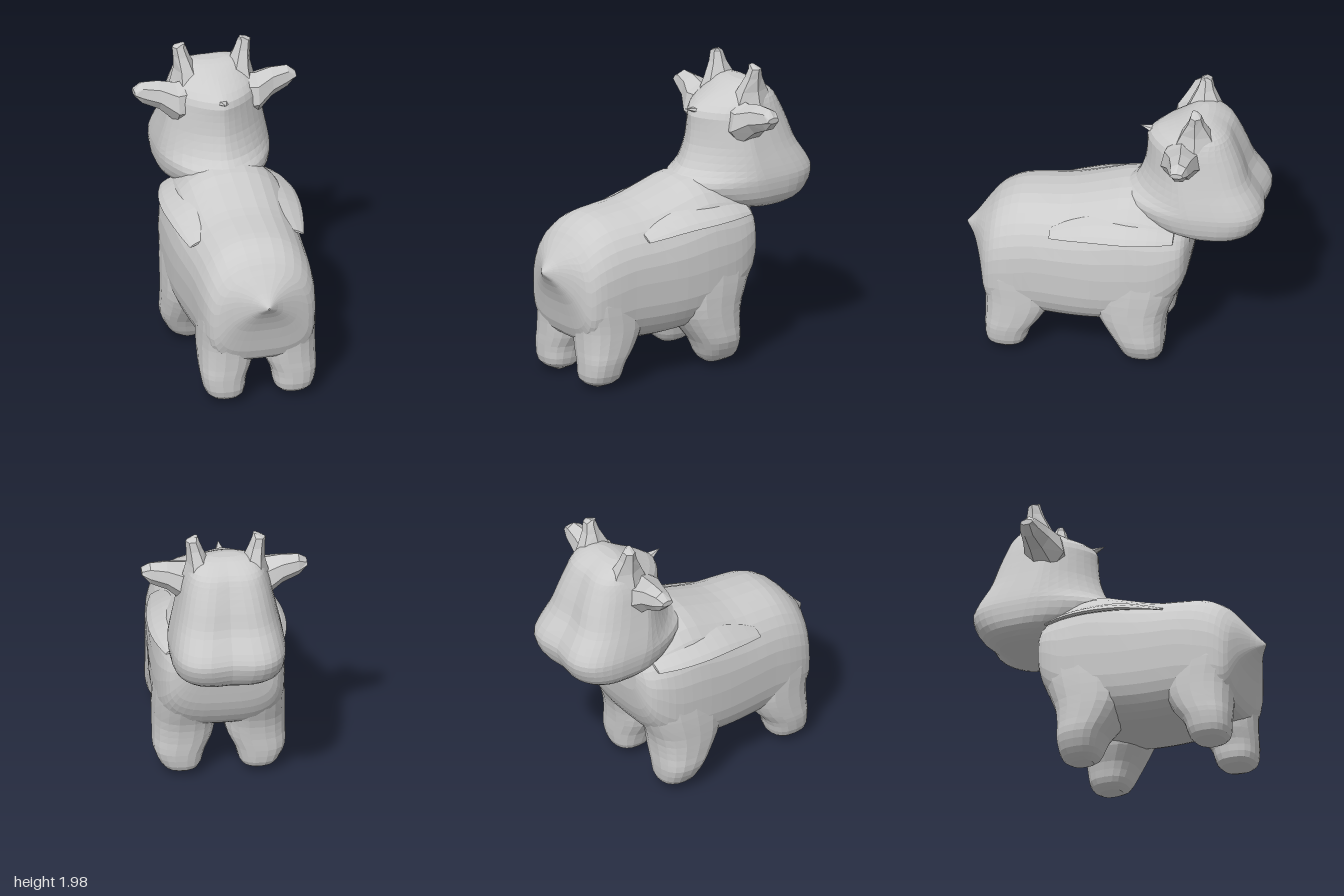
import * as THREE from 'three';

const material = new THREE.MeshStandardMaterial({ color: 0xcccccc, flatShading: true });

// Smoothly resample a table of stations (one row per section).
function resample(rows, count) {
  const stride = rows[0].length;
  const curve = new THREE.CubicInterpolant(rows.map((r, i) => i), rows.flat(), stride, new Float32Array(stride));
  return Array.from({ length: count }, (_, i) => Array.from(curve.evaluate((i / (count - 1)) * (rows.length - 1))));
}

// Superellipse point: n is the squareness (2 = round, 1 = diamond).
function superPoint(angle, n) {
  const c = Math.cos(angle), s = Math.sin(angle);
  return [Math.sign(c) * Math.abs(c) ** (2 / n), Math.sign(s) * Math.abs(s) ** (2 / n)];
}

const angles = sides => Array.from({ length: sides }, (_, i) => (i / sides) * Math.PI * 2);

// Skin a closed surface over rings; side -1 mirrors it in x.
function loft(name, rings, side = 1) {
  const sides = rings[0].length, positions = [], index = [];
  const tri = (a, b, c) => (side > 0 ? index.push(a, b, c) : index.push(a, c, b));
  rings.forEach(ring => ring.forEach(([x, y, z]) => positions.push(x * side, y, z)));
  for (let i = 0; i < rings.length - 1; i++) {
    for (let j = 0; j < sides; j++) {
      const a = i * sides + j, b = i * sides + (j + 1) % sides;
      tri(a, b, b + sides);
      tri(a, b + sides, a + sides);
    }
  }
  // End caps fan out from each end ring's centre
  [rings[0], rings[rings.length - 1]].forEach((ring, end) => {
    const centre = positions.length / 3, base = end * (rings.length - 1) * sides;
    const mean = k => ring.reduce((sum, p) => sum + p[k], 0) / sides;
    positions.push(mean(0) * side, mean(1), mean(2));
    for (let j = 0; j < sides; j++) {
      const a = base + j, b = base + (j + 1) % sides;
      if (end) tri(centre, a, b);
      else tri(centre, b, a);
    }
  });
  const geometry = new THREE.BufferGeometry();
  geometry.setAttribute('position', new THREE.Float32BufferAttribute(positions, 3));
  geometry.setIndex(index);
  geometry.computeVertexNormals();
  const mesh = new THREE.Mesh(geometry, material);
  mesh.name = name;
  return mesh;
}

// Sections stacked in y: [y, centre x, centre z, radius x, radius z]
const upright = (rows, sides, n) => rows.map(([y, cx, cz, rx, rz]) =>
  angles(sides).map(a => {
    const [u, v] = superPoint(a, n);
    return [cx + u * rx, y, cz - v * rz];
  }));

// Body: [z, bottom, widest height, top, half width]
function makeBody() {
  const rows = [
    [-0.51, 0.8, 0.92, 1.04, 0.24], [-0.475, 0.62, 0.84, 1.1, 0.345], [-0.4, 0.47, 0.8, 1.16, 0.395],
    [-0.28, 0.38, 0.74, 1.23, 0.425], [-0.1, 0.3, 0.72, 1.265, 0.435], [0.1, 0.27, 0.7, 1.21, 0.43],
    [0.3, 0.26, 0.7, 1.155, 0.415], [0.5, 0.27, 0.7, 1.135, 0.4], [0.65, 0.28, 0.67, 1.115, 0.39],
    [0.77, 0.3, 0.64, 1.05, 0.37], [0.84, 0.36, 0.6, 0.975, 0.325], [0.885, 0.56, 0.7, 0.92, 0.22],
    [0.94, 0.7, 0.76, 0.85, 0.09], [1, 0.775, 0.78, 0.785, 0.005],
  ];
  return loft('body', resample(rows, 34).map(([z, bottom, mid, top, w]) => angles(32).map(a => {
    const [u, v] = superPoint(a, Math.sin(a) > 0 ? 2.35 : 3.2);
    return [u * w, mid + v * (v > 0 ? top - mid : mid - bottom), z];
  })));
}

// Head and neck: [y, back z, front z, widest z, half width, squareness of back, of front]
function makeHead() {
  const rows = [
    [0.985, -0.55, -0.8, -0.67, 0.14, 2, 2.6], [1.01, -0.38, -0.87, -0.63, 0.28, 2, 2.8], [1.08, -0.15, -0.96, -0.58, 0.36, 1.9, 3.2],
    [1.2, -0.01, -1.007, -0.54, 0.38, 1.7, 3.6], [1.29, -0.115, -0.98, -0.51, 0.368, 1.6, 3.6], [1.42, -0.175, -0.9, -0.48, 0.338, 1.5, 3.4],
    [1.55, -0.195, -0.855, -0.47, 0.31, 1.5, 3.2], [1.67, -0.21, -0.805, -0.48, 0.285, 1.5, 3], [1.76, -0.36, -0.75, -0.55, 0.245, 1.7, 2.9],
    [1.82, -0.47, -0.66, -0.57, 0.19, 2, 2.6], [1.84, -0.53, -0.6, -0.57, 0.1, 2, 2],
  ];
  return loft('head', resample(rows, 28).map(([y, back, front, mid, w, nBack, nFront]) => angles(36).map(a => {
    const [u, v] = superPoint(a, Math.sin(a) > 0 ? nFront : nBack);
    // The muzzle and brow dip slightly along the centre line
    const dip = v > 0 ? 1 - 0.07 * Math.exp(-((u / 0.3) ** 2)) : 1;
    return [u * w, y, mid + v * dip * (v > 0 ? front - mid : mid - back)];
  })));
}

// Legs flare out at the top to run into the chest, belly and rump
const frontLegRows = [
  [0.025, 0.25, -0.2, 0.06, 0.075], [0.07, 0.255, -0.205, 0.125, 0.13], [0.18, 0.265, -0.19, 0.17, 0.165],
  [0.29, 0.24, -0.155, 0.2, 0.205], [0.42, 0.23, -0.13, 0.21, 0.25], [0.6, 0.225, -0.15, 0.21, 0.295],
  [0.8, 0.21, -0.17, 0.2, 0.3], [1, 0.18, -0.2, 0.14, 0.2],
];
const hindLegRows = [
  [0, 0.22, 0.7, 0.015, 0.02], [0.06, 0.23, 0.7, 0.12, 0.125], [0.18, 0.235, 0.685, 0.15, 0.155],
  [0.28, 0.215, 0.645, 0.175, 0.195], [0.42, 0.205, 0.615, 0.185, 0.23], [0.6, 0.2, 0.635, 0.187, 0.235],
  [0.8, 0.19, 0.61, 0.175, 0.22],
];
const hornRows = [
  [1.7, 0.17, -0.55, 0.115, 0.16], [1.8, 0.185, -0.55, 0.075, 0.11], [1.89, 0.205, -0.55, 0.055, 0.06],
  [1.955, 0.22, -0.552, 0.045, 0.04], [1.98, 0.195, -0.54, 0.012, 0.02],
];

// Ears run out along x: [x, y, z, radius y, radius z]
const earRows = [
  [0.14, 1.58, -0.47, 0.17, 0.12], [0.27, 1.6, -0.46, 0.14, 0.14], [0.38, 1.66, -0.475, 0.1, 0.095],
  [0.49, 1.685, -0.48, 0.075, 0.065], [0.545, 1.695, -0.475, 0.02, 0.045],
];

// Shoulder folds run back along z and slope outwards: [z, x, y, radius x, radius y]
const foldRows = [
  [-0.42, 0.33, 1.04, 0.05, 0.012], [-0.28, 0.345, 1.065, 0.085, 0.02], [-0.1, 0.35, 1.075, 0.105, 0.025],
  [0.1, 0.345, 1.065, 0.1, 0.025], [0.28, 0.34, 1.03, 0.075, 0.015], [0.4, 0.345, 0.995, 0.04, 0.008],
];

export function createModel() {
  const model = new THREE.Group();
  model.add(makeBody(), makeHead());

  for (const side of [1, -1]) {
    const label = side > 0 ? 'left' : 'right';
    model.add(loft(label + 'FrontLeg', upright(resample(frontLegRows, 18), 18, 2.5), side));
    model.add(loft(label + 'HindLeg', upright(resample(hindLegRows, 18), 18, 2.5), side));
    model.add(loft(label + 'Horn', upright(hornRows, 6, 2), side));
    model.add(loft(label + 'Ear', earRows.map(([x, y, z, ry, rz]) =>
      angles(7).map(a => [x, y + Math.cos(a) * ry, z + Math.sin(a) * rz])), side));
    model.add(loft(label + 'ShoulderFold', resample(foldRows, 14).map(([z, x, y, rx, ry]) =>
      angles(8).map(a => [x + Math.cos(a) * rx, y + Math.sin(a) * ry - Math.cos(a) * rx * 0.5, z])), side));
  }

  // Small tuft at the back of the head
  const tuft = new THREE.Mesh(new THREE.ConeGeometry(0.05, 0.12, 5), material);
  tuft.name = 'tuft';
  tuft.rotation.x = 1.3;
  tuft.scale.z = 0.5;
  tuft.position.set(0, 1.675, -0.2);
  model.add(tuft);

  return model;
}
